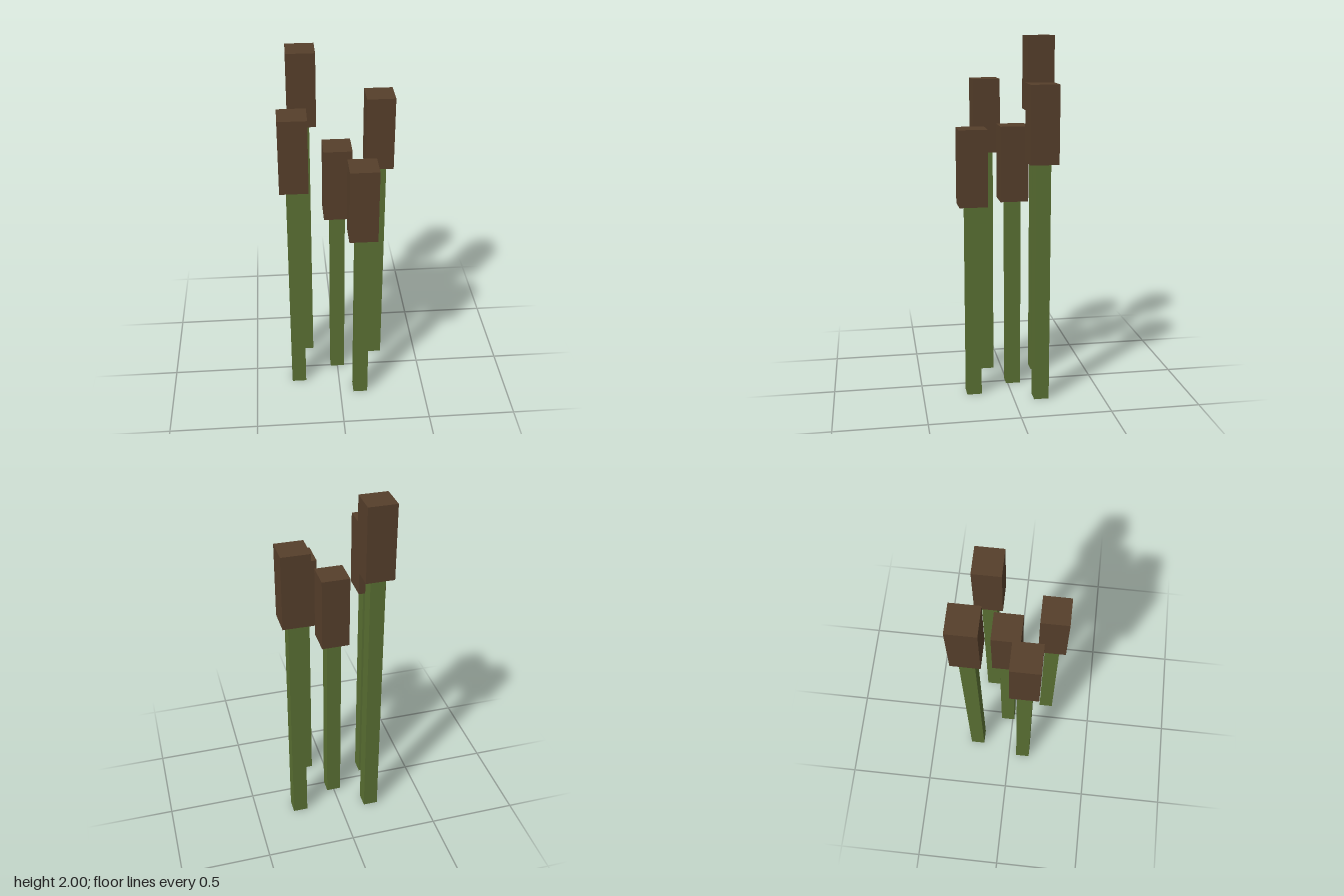
import * as THREE from 'three';

const HEAD_WIDTH = 0.156, HEAD_HEIGHT = 0.42, STEM_WIDTH = 0.083, STEM_OVERLAP = 0.1;

// x, z and the height where the head begins
const REEDS = [
  [-0.183, -0.213, 1.58],
  [0.242, -0.153, 1.338],
  [0, -0.032, 1.096],
  [-0.243, 0.09, 1.338],
  [0.12, 0.211, 1.096],
];

// Square box standing on y = 0, open below and optionally open on top
function openBox(width, height, closedTop) {
  const geometry = new THREE.BoxGeometry(width, height, width);
  geometry.translate(0, height / 2, 0);
  const index = Array.from(geometry.index.array);
  const sides = closedTop ? [0, 1, 2, 4, 5] : [0, 1, 4, 5];
  geometry.setIndex(sides.flatMap((s) => index.slice(s * 6, s * 6 + 6)));
  geometry.clearGroups();
  return geometry;
}

export function createModel() {
  const stemGreen = new THREE.MeshStandardMaterial({ color: 0x5a7033, side: THREE.DoubleSide });
  stemGreen.name = 'stem green';
  const headBrown = new THREE.MeshStandardMaterial({ color: 0x563f2b, side: THREE.DoubleSide });
  headBrown.name = 'head brown';

  const model = new THREE.Group();
  model.name = 'reeds';
  const headGeometry = openBox(HEAD_WIDTH, HEAD_HEIGHT, true);

  for (const [x, z, headBase] of REEDS) {
    const reed = new THREE.Group();
    reed.name = 'reed';
    reed.position.set(x, 0, z);

    // Hollow stem that runs a little way up into the head
    const stem = new THREE.Mesh(openBox(STEM_WIDTH, headBase + STEM_OVERLAP, false), stemGreen);
    stem.name = 'stem';

    // Seed head, open underneath
    const head = new THREE.Mesh(headGeometry, headBrown);
    head.name = 'seedHead';
    head.position.y = headBase;

    reed.add(stem, head);
    model.add(reed);
  }
  return model;
}
